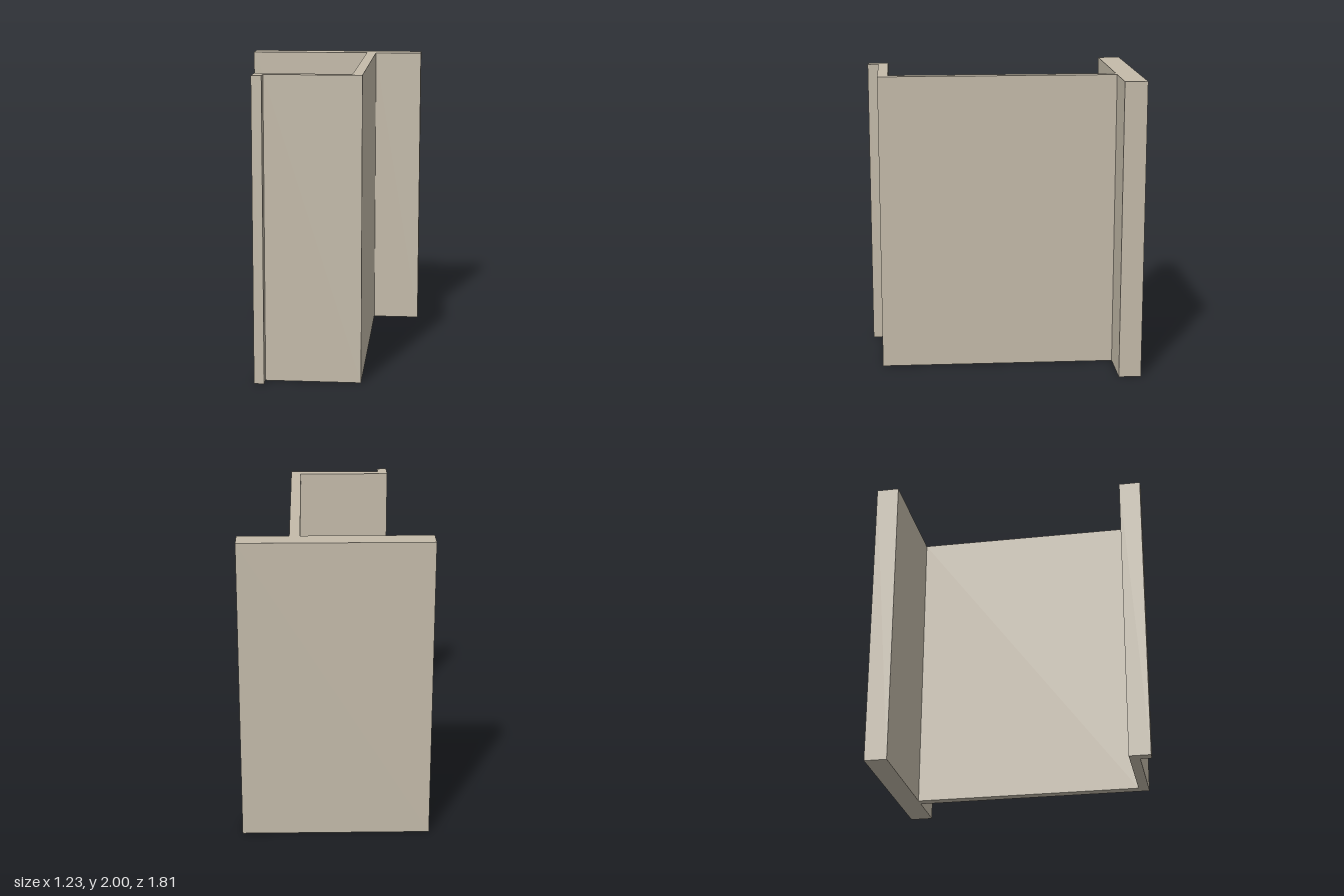
import * as THREE from 'three';

const HEIGHT = 2;

export function createModel() {
  const group = new THREE.Group();
  group.name = 'profileSection';

  const beige = new THREE.MeshStandardMaterial({ color: 0xc4bbaa });
  beige.name = 'beige';

  // Plan outline as [x, z]: thick back flange, web, front flange and lip
  const outline = [
    [-0.615, -0.905], [0.615, -0.905], [0.615, -0.755], // back flange
    [0.287, -0.755], [0.287, 0.83], // outer side of web
    [-0.337, 0.83], [-0.337, 0.905], [-0.403, 0.905], [-0.403, 0.762], // front flange and lip
    [0.22, 0.762], [0.22, -0.755], // inner side of web
    [-0.615, -0.755],
  ];
  const shape = new THREE.Shape(outline.map(([x, z]) => new THREE.Vector2(x, -z)));

  // Extrude the section upright from the ground
  const geometry = new THREE.ExtrudeGeometry(shape, { depth: HEIGHT, bevelEnabled: false });
  geometry.rotateX(-Math.PI / 2);

  const profile = new THREE.Mesh(geometry, beige);
  profile.name = 'flangedProfile';
  group.add(profile);
  return group;
}
